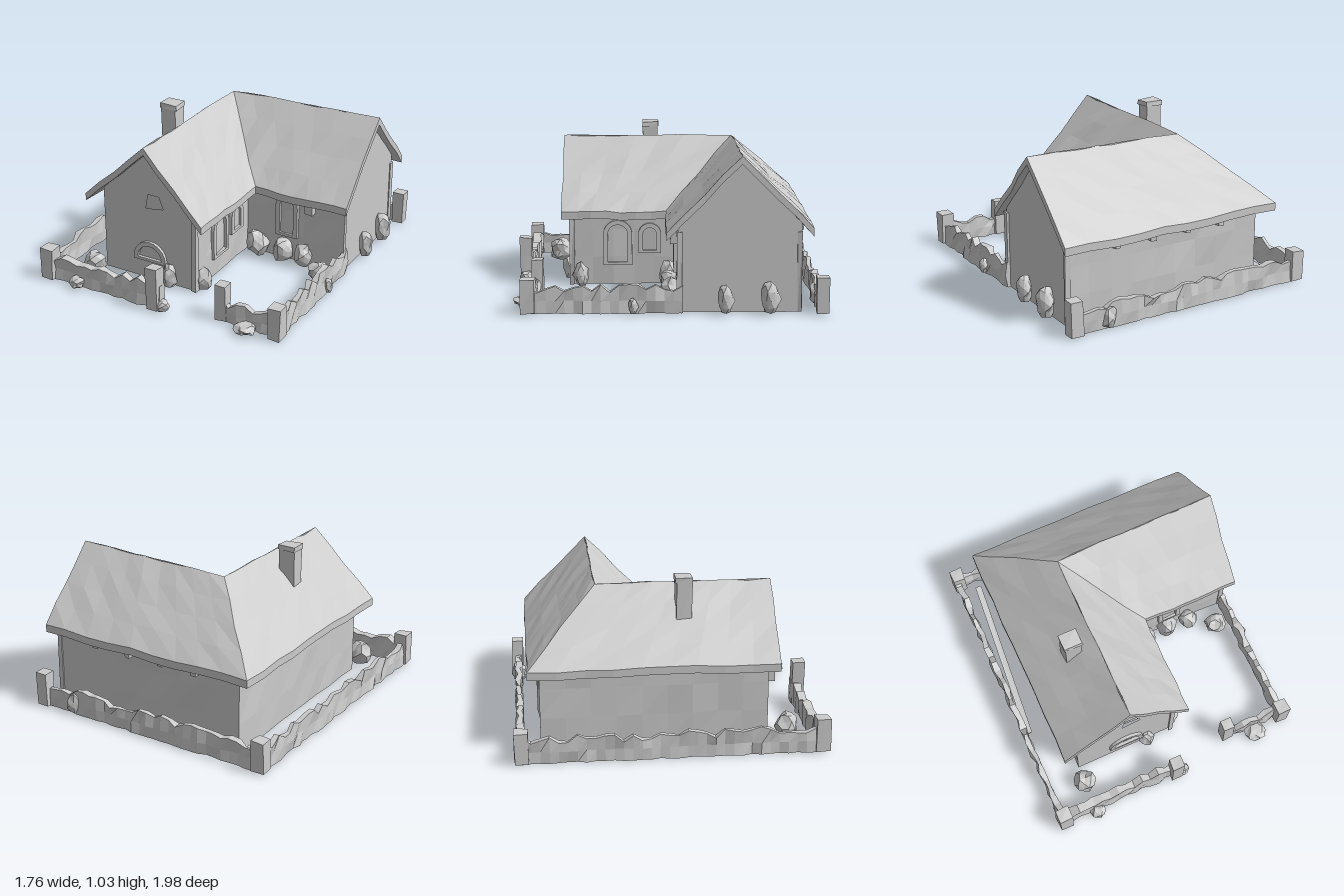
import * as THREE from 'three';

const mat = new THREE.MeshStandardMaterial({ color: 0xcccccc, flatShading: true, side: THREE.DoubleSide });

// repeatable noise in -1..1, tied to position so shared corners stay joined
function noise(x, y, z, k = 0) {
  const s = Math.sin(Math.round(x * 500) * 12.99 + Math.round(y * 500) * 78.23 + Math.round(z * 500) * 37.72 + k * 5.17) * 43758.5453;
  return (s - Math.floor(s)) * 2 - 1;
}

// moves every vertex by a rule
function warp(geo, rule) {
  const p = geo.attributes.position, v = new THREE.Vector3();
  for (let i = 0; i < p.count; i++) {
    rule(v.fromBufferAttribute(p, i));
    p.setXYZ(i, v.x, v.y, v.z);
  }
  geo.computeVertexNormals();
  return geo;
}

const rough = (geo, a) => warp(geo, v => {
  const { x, y, z } = v;
  v.set(x + a * noise(x, y, z, 1), y + a * noise(x, y, z, 2), z + a * noise(x, y, z, 3));
});

export function createModel() {
  const model = new THREE.Group();
  const add = (name, geo, parent = model) => {
    const m = new THREE.Mesh(geo, mat);
    m.name = name;
    parent.add(m);
    return m;
  };
  const group = name => {
    const g = new THREE.Group();
    g.name = name;
    model.add(g);
    return g;
  };
  const box = (name, w, h, d, x, y, z, parent) =>
    add(name, rough(new THREE.BoxGeometry(w, h, d).translate(x, y, z), 0.005), parent);

  // roof: four slabs meeting at the hip, valley and two ridges
  const roof = group('roof');
  const V = (x, y, z) => new THREE.Vector3(x, y, z);
  const peak = V(-0.25, 0.945, -0.45), hip = V(-0.7, 0.53, -0.89), valley = V(0.17, 0.5, 0);
  const frontPeak = V(-0.25, 0.94, 0.67), eastPeak = V(0.83, 0.965, -0.45);
  const slab = (name, a, b, c, d, n, m) => {
    const lo = V(), hi = V();
    add(name, warp(new THREE.BoxGeometry(1, 1, 1, n, 1, m), v => {
      const s = v.x + 0.5, t = v.z + 0.5, under = v.y < 0;
      lo.lerpVectors(a, b, s);
      hi.lerpVectors(d, c, s);
      v.lerpVectors(lo, hi, t);
      const { x, y, z } = v;
      v.y += 0.007 * noise(x, y, z) - (under ? 0.05 : 0);
      v.x += 0.005 * noise(x, y, z, 1);
      v.z += 0.005 * noise(x, y, z, 2);
    }), roof);
  };
  slab('leftSlope', V(-0.7, 0.53, 0.67), frontPeak, peak, hip, 4, 9);
  slab('innerFrontSlope', frontPeak, V(0.17, 0.5, 0.67), valley, peak, 4, 7);
  slab('innerEastSlope', peak, valley, V(0.83, 0.5, 0), eastPeak, 4, 7);
  slab('backSlope', peak, eastPeak, V(0.83, 0.53, -0.89), hip, 9, 4);

  // straight walls around the L-shaped plan
  const walls = group('walls');
  const wall = (name, x0, z0, x1, z1, h) => {
    const len = Math.hypot(x1 - x0, z1 - z0);
    add(name, warp(new THREE.PlaneGeometry(1, 1, Math.ceil(len * 6), 3), v => {
      const s = v.x + 0.5, y = (v.y + 0.5) * h;
      const inside = Math.abs(v.x) < 0.49 ? 0.008 : 0;
      const x = x0 + (x1 - x0) * s, z = z0 + (z1 - z0) * s;
      const d = inside * noise(x, y, z);
      v.set(x + d * (z1 - z0) / len, y, z - d * (x1 - x0) / len);
    }), walls);
  };
  wall('leftWall', -0.6, -0.82, -0.6, 0.61, 0.57);
  wall('backWall', 0.78, -0.82, -0.6, -0.82, 0.56);
  wall('innerWall', 0.08, 0.61, 0.08, -0.07, 0.55);
  wall('eastFrontWall', 0.08, -0.07, 0.78, -0.07, 0.53);

  // gable ends, the front one with a small attic window
  const gable = (u0, u1, peakU, peakY, y0, y1) => {
    const s = new THREE.Shape();
    s.moveTo(u0, 0).lineTo(u1, 0).lineTo(u1, y1).lineTo(peakU, peakY).lineTo(u0, y0);
    return s;
  };
  const front = gable(-0.6, 0.08, -0.25, 0.91, 0.57, 0.55);
  const hole = new THREE.Path();
  hole.moveTo(-0.28, 0.5).lineTo(-0.26, 0.6).lineTo(-0.18, 0.6).lineTo(-0.15, 0.52);
  front.holes.push(hole);
  add('frontGable', new THREE.ShapeGeometry(front).translate(0, 0, 0.61), walls);
  box('atticWindow', 0.14, 0.12, 0.01, -0.215, 0.55, 0.585, walls);
  const east = gable(0.07, 0.82, 0.45, 0.93, 0.53, 0.55);
  add('eastGable', new THREE.ShapeGeometry(east).rotateY(Math.PI / 2).translate(0.78, 0, 0), walls);

  // corner posts at the outer wall corners
  for (const [x, z] of [[0.08, 0.61], [0.78, -0.08], [0.775, -0.81]])
    box('cornerPost', 0.03, 0.5, 0.03, x, 0.25, z, walls);

  // eave brackets
  for (const x of [-0.3, -0.05, 0.2, 0.45]) box('eaveBracket', 0.04, 0.07, 0.05, x, 0.48, -0.84);
  box('eaveBracket', 0.06, 0.1, 0.05, 0.55, 0.43, -0.05);

  // windows and doorway
  const arch = (name, w, h) => {
    const s = new THREE.Shape();
    s.moveTo(-w, 0).lineTo(w, 0).lineTo(w, h - w).absarc(0, h - w, w, 0, Math.PI, false);
    const p = new THREE.Path();
    const i = w - 0.03;
    p.moveTo(-i, 0.02).lineTo(i, 0.02).lineTo(i, h - w).absarc(0, h - w, i, 0, Math.PI, false);
    s.holes.push(p);
    return add(name, new THREE.ExtrudeGeometry(s, { depth: 0.025, bevelEnabled: false, curveSegments: 5 }));
  };
  const door = arch('sideDoorFrame', 0.095, 0.3);
  door.position.set(0.075, 0.13, 0.31);
  door.rotation.y = Math.PI / 2;
  const side = arch('sideWindowFrame', 0.075, 0.2);
  side.position.set(0.075, 0.21, 0.1);
  side.rotation.y = Math.PI / 2;
  arch('eastWindowFrame', 0.08, 0.3).position.set(0.38, 0.17, -0.075);
  arch('frontWindowFrame', 0.12, 0.14).position.set(-0.25, 0.13, 0.605);

  // chimney with a slightly wider cap
  box('chimney', 0.11, 0.34, 0.1, -0.395, 0.83, 0.095);
  box('chimneyCap', 0.12, 0.03, 0.11, -0.395, 1.005, 0.095);

  // ragged garden wall
  const garden = group('gardenWall');
  const fence = (name, x0, z0, x1, z1, h, t) => {
    const len = Math.hypot(x1 - x0, z1 - z0), dx = (x1 - x0) / len, dz = (z1 - z0) / len;
    add(name, warp(new THREE.BoxGeometry(len, 1, t, Math.round(len * 18), 2, 1), v => {
      const s = v.x + len / 2, n = noise(v.x, 0, 0, len + x0);
      const y = (v.y + 0.5) * (h + (v.y > 0.4 ? 0.03 * n : 0));
      const w = v.z + 0.012 * noise(v.x, v.y, v.z, x0);
      v.set(x0 + dx * s - dz * w, y, z0 + dz * s + dx * w);
    }), garden);
  };
  fence('leftFence', -0.84, -0.94, -0.84, 0.92, 0.15, 0.035);
  fence('backFence', -0.84, -0.945, 0.82, -0.945, 0.15, 0.035);
  fence('frontFence', -0.84, 0.9, 0.02, 0.9, 0.155, 0.05);
  fence('rightFence', 0.79, -0.1, 0.79, 0.84, 0.16, 0.04);
  fence('gateFence', 0.4, 0.82, 0.8, 0.82, 0.13, 0.04);

  // fence posts: x, z, width, height
  for (const [x, z, w, h] of [[-0.83, 0.91, 0.09, 0.21], [-0.025, 0.92, 0.08, 0.29], [0.4, 0.81, 0.075, 0.24],
    [0.79, 0.84, 0.085, 0.21], [-0.83, -0.94, 0.085, 0.2], [0.805, -0.95, 0.08, 0.22]])
    box('fencePost', w, h, w, x, h / 2 + 0.005, z, garden);

  // low ledge beside the left wall
  const ledge = box('ledge', 0.04, 0.02, 1.14, 0, 0, 0);
  ledge.position.set(-0.765, 0.02, -0.31);
  ledge.rotation.y = -0.085;

  // shrubs and rubble: x, z, radius, height
  for (const [x, z, r, h] of [[-0.6, 0.73, 0.07, 0.17], [-0.6, 0.94, 0.05, 0.08], [0.03, 0.92, 0.04, 0.08],
    [0.6, 0.88, 0.07, 0.06], [0.68, 0.07, 0.07, 0.12], [0.82, -0.36, 0.05, 0.18], [0.82, -0.63, 0.06, 0.2],
    [0.18, -0.03, 0.07, 0.19], [0.36, -0.04, 0.07, 0.18], [0.52, -0.03, 0.06, 0.17], [0.11, 0.55, 0.05, 0.15],
    [0.57, -0.945, 0.05, 0.15], [-0.1, 0.63, 0.05, 0.16], [0.82, 0.2, 0.03, 0.1]]) {
    const geo = new THREE.IcosahedronGeometry(1, 1);
    add('shrub', warp(geo, v => {
      const k = 1 + 0.2 * noise(v.x, v.y, v.z, x);
      v.set(x + v.x * r * k, Math.max(0, (v.y * k + 0.9) * h / 2), z + v.z * r * k);
    }));
  }
  return model;
}
